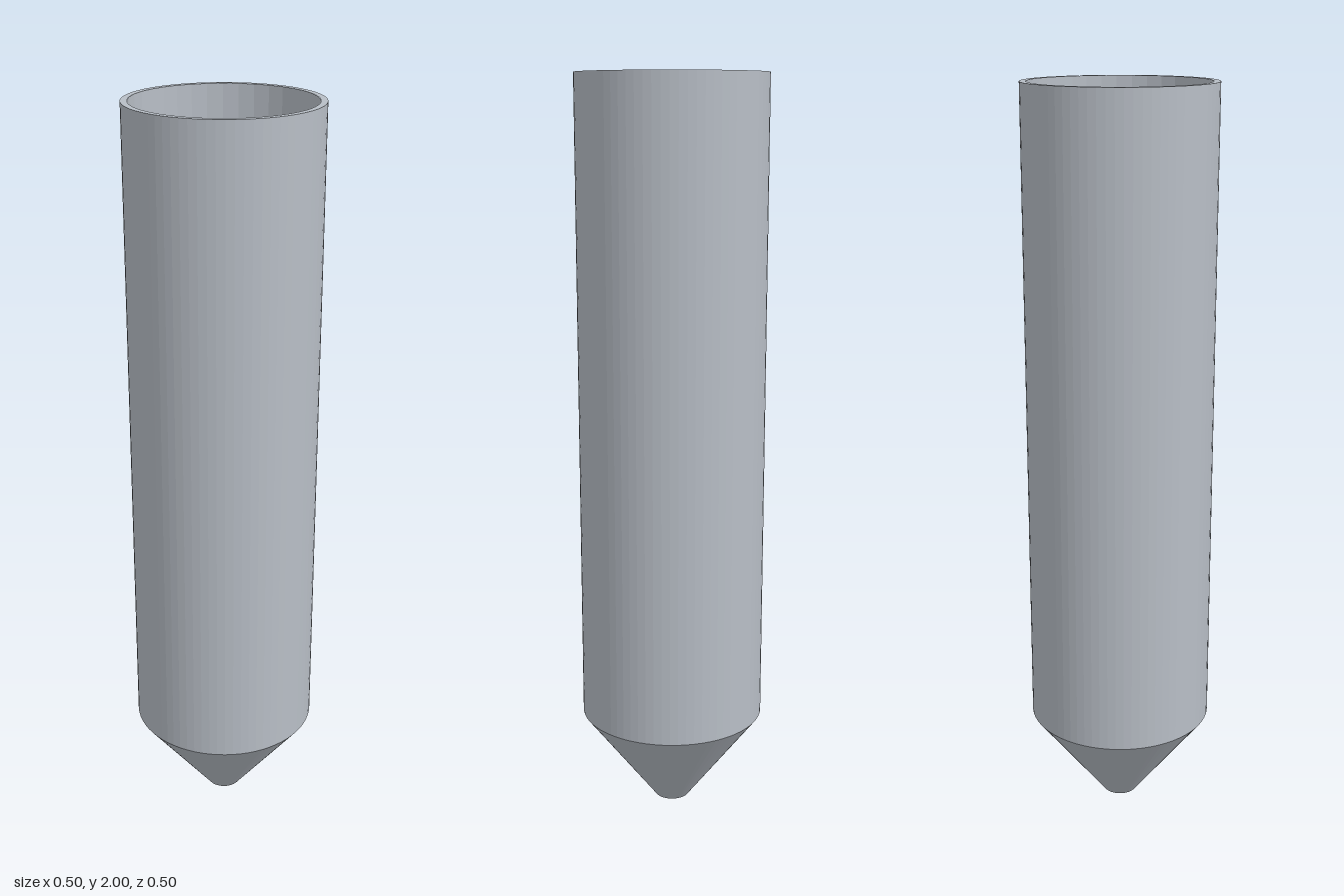
import * as THREE from 'three';

// Flat-shaded surface of revolution; a profile running upwards faces outwards
function turned(name, profile, sides, material) {
  const points = profile.map(([r, y]) => new THREE.Vector2(r, y));
  const mesh = new THREE.Mesh(new THREE.LatheGeometry(points, sides), material);
  mesh.name = name;
  return mesh;
}

export function createModel() {
  const group = new THREE.Group();
  group.name = 'conicalTube';
  const grey = new THREE.MeshStandardMaterial({ color: 0xb8bec6, flatShading: true });
  grey.name = 'light grey';

  // Outside: flat tip, cone and straight wall
  group.add(turned('outerWall', [[0, 0], [0.047, 0], [0.25, 0.265], [0.25, 2]], 72, grey));

  // Flat ring around the open mouth
  group.add(turned('rim', [[0.25, 2], [0.233, 2]], 72, grey));

  // Inside: straight bore, cone and small round floor
  group.add(turned('innerWall', [[0.233, 2], [0.233, 0.27], [0.04, 0.018], [0, 0.018]], 36, grey));

  return group;
}
